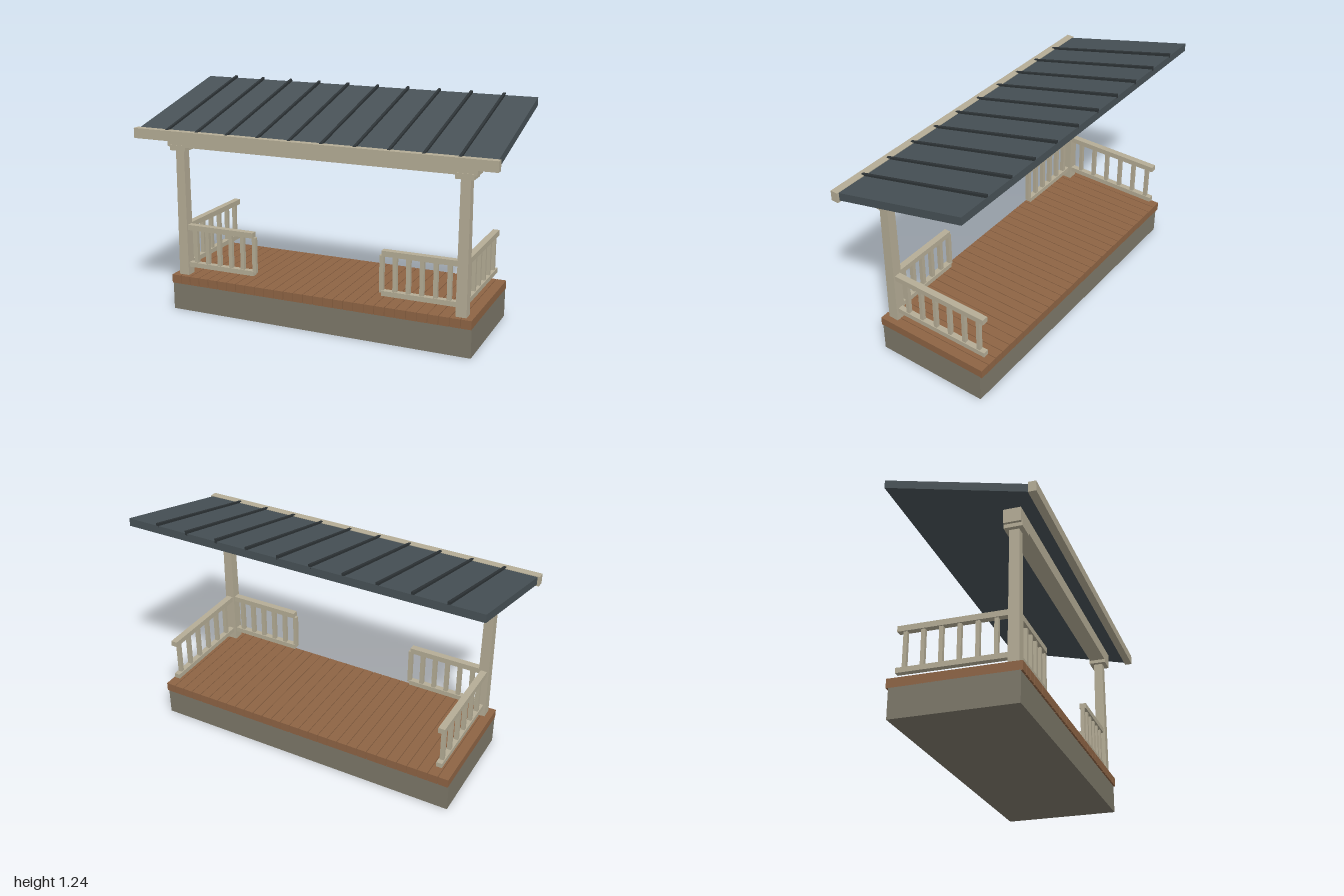
import * as THREE from 'three';

const paint = (name, color) => {
  const m = new THREE.MeshStandardMaterial({ color });
  m.name = name;
  return m;
};

export function createModel() {
  const model = new THREE.Group();
  model.name = 'porch';
  const trim = paint('beigeTrim', 0xb5ad96);
  const stone = paint('greyBase', 0x7d7869);
  const wood = paint('brownDeck', 0x8e6444);
  const metal = paint('slateRoof', 0x485257);
  const seam = paint('darkSeam', 0x2e3437);

  const add = (parent, name, geometry, material) => {
    const mesh = new THREE.Mesh(geometry, material);
    mesh.name = name;
    parent.add(mesh);
    return mesh;
  };
  // Box given by its limits on each axis
  const box = (parent, name, [x0, x1], [y0, y1], [z0, z1], material) => {
    const mesh = add(parent, name, new THREE.BoxGeometry(Math.abs(x1 - x0), y1 - y0, z1 - z0), material);
    mesh.position.set((x0 + x1) / 2, (y0 + y1) / 2, (z0 + z1) / 2);
    return mesh;
  };
  // Profile of (z, y) points extruded across x
  const across = (points, width) => {
    const shape = new THREE.Shape(points.map(([z, y]) => new THREE.Vector2(z, y)));
    return new THREE.ExtrudeGeometry(shape, { depth: width, bevelEnabled: false })
      .translate(0, 0, -width / 2)
      .rotateY(-Math.PI / 2);
  };

  // Foundation and deck planks
  box(model, 'foundation', [-0.868, 0.868], [0, 0.158], [-0.365, 0.275], stone);
  const deck = new THREE.Group();
  deck.name = 'deck';
  model.add(deck);
  const planks = 30, pitch = 1.74 / planks;
  for (let i = 0; i < planks; i++) {
    const x = -0.87 + (i + 0.5) * pitch;
    box(deck, 'plank', [x - 0.027, x + 0.027], [0.156, 0.204], [-0.378, 0.285], wood);
  }

  // Posts, caps and railings, mirrored on both sides
  for (const s of [-1, 1]) {
    const side = new THREE.Group();
    side.name = s < 0 ? 'rightSide' : 'leftSide';
    model.add(side);

    const postGeo = new THREE.BoxGeometry(0.058, 0.72, 0.058);
    const pos = postGeo.attributes.position;
    for (let i = 0; i < pos.count; i++) {
      if (pos.getY(i) > 0) {
        pos.setX(i, pos.getX(i) * 0.87);
        pos.setZ(i, pos.getZ(i) * 0.87);
      }
    }
    postGeo.computeVertexNormals();
    add(side, 'post', postGeo, trim).position.set(s * 0.805, 0.562, 0.229);
    box(side, 'postCap', [s * 0.757, s * 0.853], [0.915, 0.945], [0.182, 0.278], trim);

    // Front railing
    const front = new THREE.Group();
    front.name = 'frontRailing';
    side.add(front);
    box(front, 'topRail', [s * 0.372, s * 0.785], [0.464, 0.494], [0.212, 0.248], trim);
    box(front, 'bottomRail', [s * 0.372, s * 0.785], [0.25, 0.277], [0.214, 0.246], trim);
    // Side railing
    const flank = new THREE.Group();
    flank.name = 'sideRailing';
    side.add(flank);
    box(flank, 'topRail', [s * 0.787, s * 0.823], [0.464, 0.494], [-0.358, 0.206], trim);
    box(flank, 'bottomRail', [s * 0.789, s * 0.821], [0.25, 0.277], [-0.358, 0.206], trim);
    for (let i = 0; i < 6; i++) {
      const x = s * (0.734 - i * 0.0728), z = 0.139 - i * 0.0914;
      box(front, 'baluster', [x - 0.011, x + 0.011], [0.265, 0.466], [0.219, 0.241], trim);
      box(flank, 'baluster', [s * 0.794, s * 0.816], [0.265, 0.466], [z - 0.01, z + 0.01], trim);
    }
  }

  // Beam on the posts
  box(model, 'beam', [-0.868, 0.868], [0.935, 1.01], [0.185, 0.275], trim);

  // Sloped roof with raised seams and a front fascia
  const roof = new THREE.Group();
  roof.name = 'roof';
  model.add(roof);
  add(roof, 'roofPanel', across([[0.36, 0.997], [0.36, 1.041], [-0.392, 1.226], [-0.392, 1.182]], 1.976), metal);
  const rib = across([[0.372, 1.03], [0.372, 1.048], [-0.392, 1.24], [-0.392, 1.216]], 0.014);
  for (let i = 0; i < 10; i++) add(roof, 'seam', rib, seam).position.x = (i - 4.5) * 0.1795;
  box(roof, 'fascia', [-1, 1], [0.991, 1.046], [0.352, 0.393], trim);

  return model;
}
